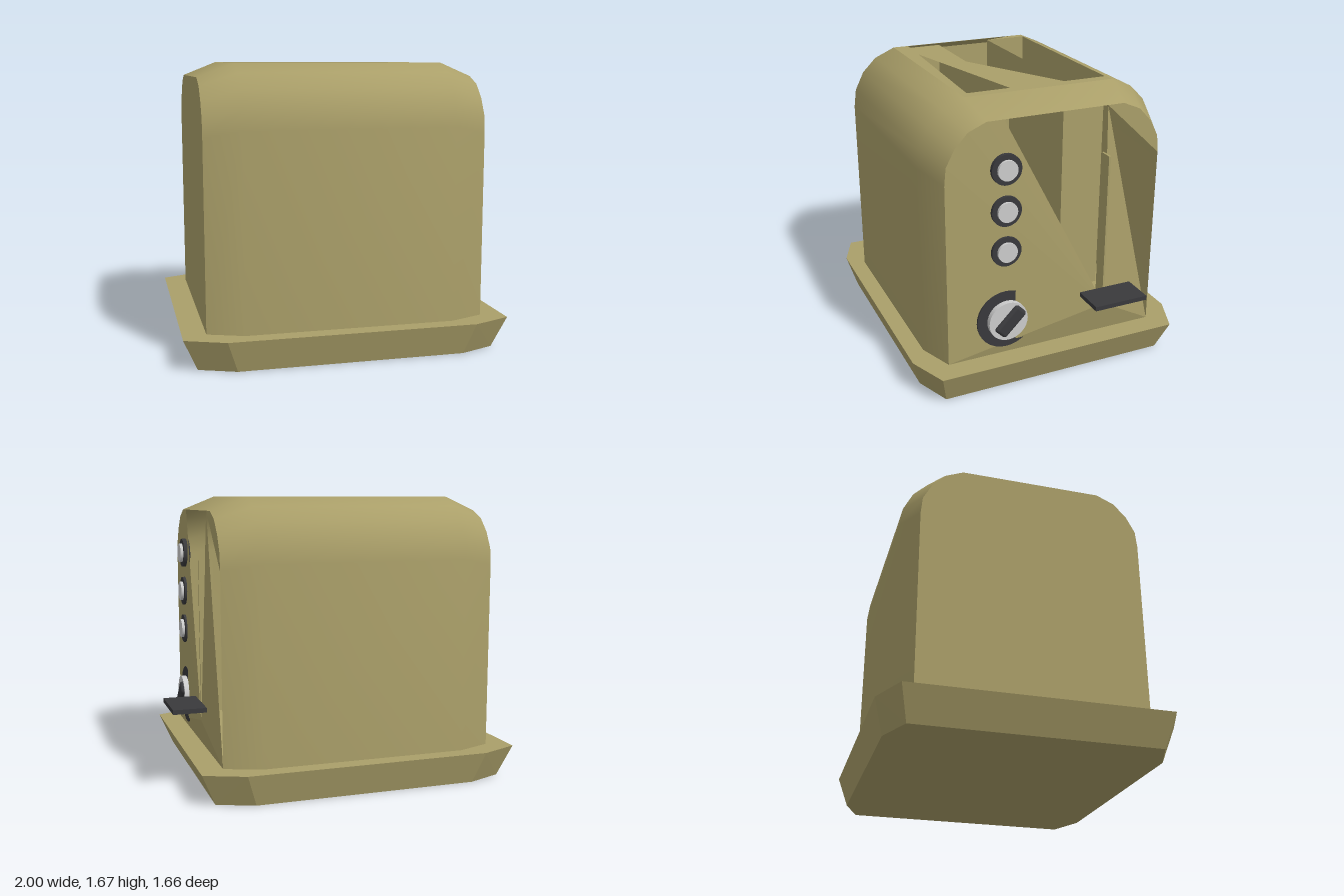
import * as THREE from 'three';
import { toCreasedNormals } from 'three/addons/utils/BufferGeometryUtils.js';
import { RoundedBoxGeometry } from 'three/addons/geometries/RoundedBoxGeometry.js';
import { ConvexGeometry } from 'three/addons/geometries/ConvexGeometry.js';

const olive = new THREE.MeshStandardMaterial({ color: 0xaa9f69, side: THREE.DoubleSide });
const dark = new THREE.MeshStandardMaterial({ color: 0x39393c });
const grey = new THREE.MeshStandardMaterial({ color: 0xcccccc });

function mesh(name, geometry, material, x = 0, y = 0, z = 0) {
  const m = new THREE.Mesh(geometry, material);
  m.name = name;
  m.position.set(x, y, z);
  return m;
}

// Geometry from a list of triangles, each three [x, y, z] corners
function fromTriangles(tris) {
  const g = new THREE.BufferGeometry();
  g.setAttribute('position', new THREE.Float32BufferAttribute(tris.flat(2), 3));
  g.computeVertexNormals();
  return g;
}

// Arched cross-section at x, from the front foot over the top to the back foot
function section(x, half) {
  const front = half.map(([z, y]) => [x, y, z]);
  const back = half.map(([z, y]) => [x, y, -z]).reverse();
  return [...front, ...back];
}

// Disc facing +x, starting at x0 and ending at x1
function disc(name, radius, x0, x1, y, z, material) {
  const g = new THREE.CylinderGeometry(radius, radius, x1 - x0, 32).rotateZ(-Math.PI / 2);
  return mesh(name, g, material, (x0 + x1) / 2, y, z);
}

export function createModel() {
  const model = new THREE.Group();
  model.name = 'toaster';

  // Flared base tray with chamfered corners
  const octagon = (y, x0, x1, zEnd, zMid, inset) => {
    const pts = [];
    for (const s of [-1, 1]) {
      for (const [x, z] of [[x0, zEnd], [x0 + inset, zMid], [x1 - inset, zMid], [x1, zEnd]]) {
        pts.push(new THREE.Vector3(x, y, s * z));
      }
    }
    return pts;
  };
  model.add(mesh('base', new ConvexGeometry([
    ...octagon(0, -0.92, 0.815, 0.69, 0.775, 0.21),
    ...octagon(0.185, -1, 0.895, 0.735, 0.83, 0.23),
  ]), olive));

  // Body shell: full arch in the middle, drawn in at both ends
  const full = [[0.73, 0.185], [0.73, 1.31], [0.715, 1.42], [0.66, 1.53], [0.575, 1.615], [0.45, 1.67]];
  const small = [[0.65, 0.185], [0.65, 1.27], [0.64, 1.37], [0.59, 1.465], [0.515, 1.545], [0.41, 1.59]];
  const rows = [section(-0.865, small), section(-0.66, full), section(0.555, full), section(0.76, small)];
  const top = full.length - 1;
  const shell = [];
  for (let i = 0; i < 3; i++) {
    for (let j = 0; j < rows[0].length - 1; j++) {
      if (i === 1 && j === top) continue; // the top panel closes this bay
      const a = rows[i][j], b = rows[i + 1][j], c = rows[i + 1][j + 1], d = rows[i][j + 1];
      shell.push([a, b, c], [a, c, d]);
    }
  }
  model.add(mesh('bodyShell', toCreasedNormals(fromTriangles(shell), 0.6), olive));

  // Plain end wall
  const end = rows[0];
  const endTris = [];
  for (let j = 1; j < end.length - 1; j++) endTris.push([end[0], end[j], end[j + 1]]);
  model.add(mesh('endWall', fromTriangles(endTris), olive));

  // Control wall: bulges to a point under the lever, open between the two edges
  const rim = rows[3];
  const tip = [0.81, 0.385, -0.31];
  const openFront = [0.76, 1.59, 0.31], openBack = [0.76, 1.59, -0.31];
  const frontRim = [...rim.slice(0, top + 1), openFront];
  const backRim = [openBack, ...rim.slice(top + 1)];
  const foot = backRim[backRim.length - 1];
  const wall = [[tip, openBack, foot].reverse(), [tip, foot, frontRim[0]]];
  for (let j = 0; j < frontRim.length - 1; j++) wall.push([tip, frontRim[j + 1], frontRim[j]].reverse());
  for (let j = 1; j < backRim.length - 2; j++) wall.push([openBack, backRim[j + 1], backRim[j]]);
  // Make every corner order face +x
  for (const t of wall) {
    const [a, b, c] = t;
    const nx = (b[1] - a[1]) * (c[2] - a[2]) - (b[2] - a[2]) * (c[1] - a[1]);
    if (nx < 0) t.reverse();
  }
  model.add(mesh('controlWall', fromTriangles(wall), olive));

  // Top panel with the bread openings (outlines as x, z)
  const outline = (pts) => pts.map(([x, z]) => new THREE.Vector2(x, -z));
  const panel = new THREE.Shape(outline([[-0.66, 0.45], [0.555, 0.45], [0.555, -0.45], [-0.66, -0.45]]));
  panel.holes.push(
    new THREE.Path(outline([[-0.655, 0.355], [-0.605, 0.355], [-0.605, 0.16], [-0.14, 0.16], [0.49, -0.18],
      [0.49, -0.44], [-0.61, -0.44], [-0.61, -0.18], [-0.655, -0.36]])),
    new THREE.Path(outline([[-0.42, 0.365], [0.49, 0.41], [0.49, 0.155]])),
  );
  model.add(mesh('topPanel', new THREE.ShapeGeometry(panel).rotateX(-Math.PI / 2), olive, 0, 1.67, 0));

  // Bread slots: deep boxes without a lid
  for (const [name, z0, z1] of [['frontSlot', 0.16, 0.41], ['backSlot', -0.44, -0.18]]) {
    const g = new THREE.BoxGeometry(1.1, 1.32, z1 - z0);
    const idx = Array.from(g.index.array);
    idx.splice(12, 6);
    g.setIndex(idx);
    g.clearGroups();
    model.add(mesh(name, g, olive, -0.06, 1.01, (z0 + z1) / 2));
  }

  // Lever with its guide strip and stem
  model.add(mesh('leverGuide', new THREE.BoxGeometry(0.08, 0.92, 0.012), olive, 0.77, 0.85, -0.307));
  model.add(mesh('leverStem', new THREE.BoxGeometry(0.08, 0.024, 0.012), dark, 0.79, 0.482, -0.31));
  model.add(mesh('lever', new THREE.BoxGeometry(0.19, 0.026, 0.33), dark, 0.905, 0.482, -0.315));

  // Three push buttons in dark rings
  for (const y of [1.32, 1.08, 0.84]) {
    model.add(disc('buttonRing', 0.088, 0.755, 0.793, y, 0.307, dark));
    model.add(disc('button', 0.058, 0.77, 0.81, y, 0.307, grey));
  }

  // Browning dial, partly sunk into the bulging wall
  model.add(disc('dialRing', 0.178, 0.75, 0.781, 0.412, 0.303, dark));
  model.add(disc('dial', 0.118, 0.76, 0.813, 0.412, 0.303, grey));
  const grip = mesh('dialGrip', new RoundedBoxGeometry(0.05, 0.195, 0.09, 3, 0.02), dark, 0.808, 0.412, 0.293);
  grip.rotation.x = -Math.PI / 4;
  model.add(grip);

  return model;
}
